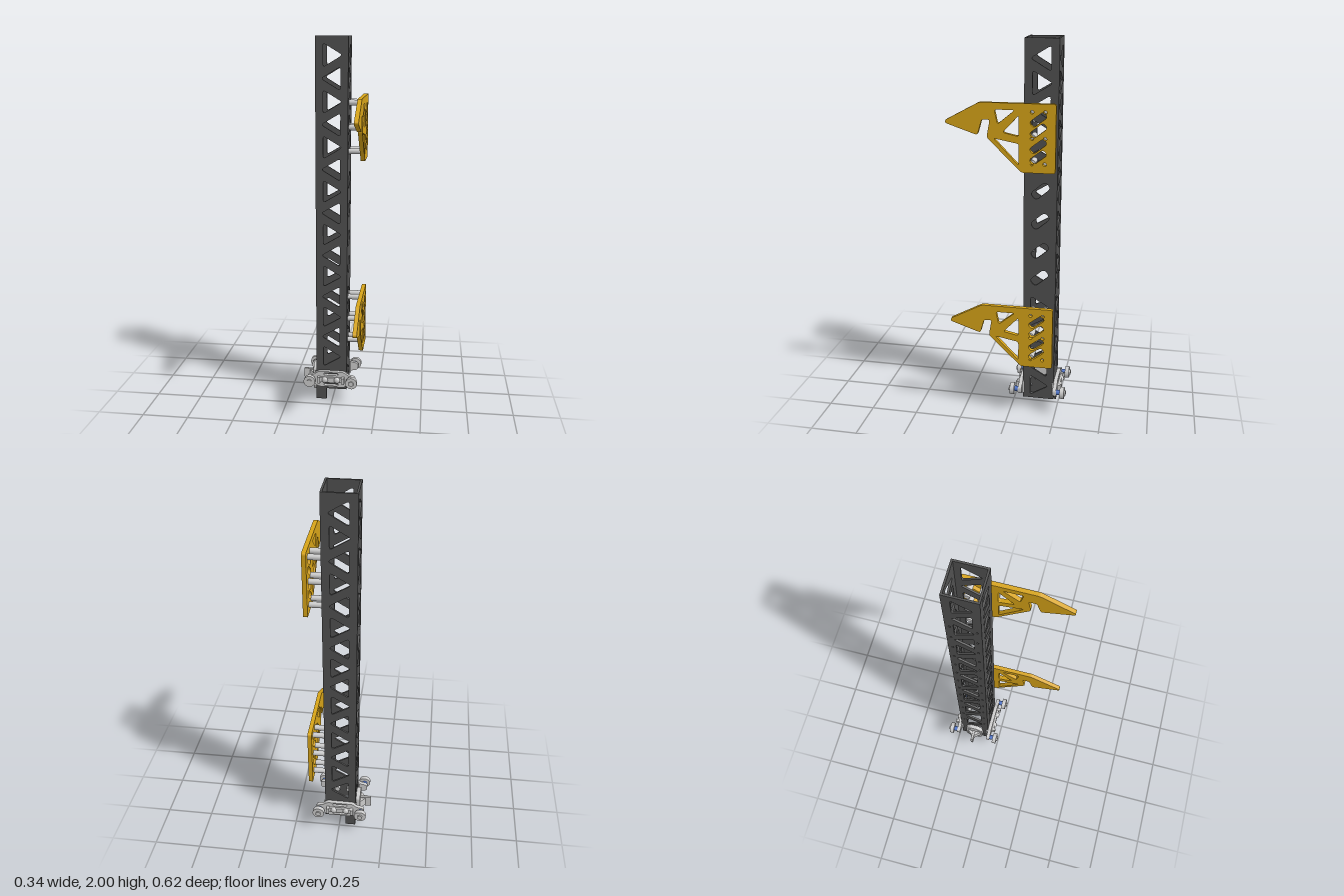
import * as THREE from 'three';

const mat = (color) => new THREE.MeshStandardMaterial({ color });
const DARK = mat(0x505050), GOLD = mat(0xd6a318), GREY = mat(0xcccccc), BLUE = mat(0x4a70c4);
const CX = -0.005, CZ = -0.15, HALF = 0.085, WALL = 0.01;

// Closed polygon with every corner rounded by radius r
function rounded(points, r, Type = THREE.Path) {
  const v = points.map(([x, y]) => new THREE.Vector2(x, y));
  const path = new Type();
  v.forEach((p, i) => {
    const a = v[(i + v.length - 1) % v.length], b = v[(i + 1) % v.length];
    const toward = (q) => p.clone().add(q.clone().sub(p).setLength(Math.min(r, p.distanceTo(q) * 0.45)));
    const s = toward(a), e = toward(b);
    if (i === 0) path.moveTo(s.x, s.y); else path.lineTo(s.x, s.y);
    path.quadraticCurveTo(p.x, p.y, e.x, e.y);
  });
  path.closePath();
  return path;
}

const circle = (x, y, r) => new THREE.Path().absarc(x, y, r, 0, Math.PI * 2);

// Slanted rounded slot
function slot(x, y, len, wid, angle) {
  const c = Math.cos(angle), s = Math.sin(angle);
  const pts = [[-len, -wid], [len, -wid], [len, wid], [-len, wid]]
    .map(([u, w]) => [x + (u * c - w * s) / 2, y + (u * s + w * c) / 2]);
  return rounded(pts, wid * 0.5);
}

// Lightening triangle, pointing to +u or -u
const triangle = (u, y, dir) =>
  rounded([[u - dir * 0.045, y - 0.06], [u + dir * 0.055, y], [u - dir * 0.045, y + 0.06]], 0.016);

function add(parent, name, geometry, material, x = 0, y = 0, z = 0) {
  const m = new THREE.Mesh(geometry, material);
  m.name = name;
  m.position.set(x, y, z);
  parent.add(m);
  return m;
}

function extrude(shape, holes, depth) {
  shape.holes.push(...holes);
  return new THREE.ExtrudeGeometry(shape, { depth, bevelEnabled: false, curveSegments: 6 });
}

// Profile drawn in (-z, y), thickened along +x
const sideways = (shape, holes, depth) => extrude(shape, holes, depth).rotateY(Math.PI / 2);

const polygon = (pts) => new THREE.Shape(pts.map(([x, y]) => new THREE.Vector2(x, y)));

function trussHoles(u, count, firstDir, keep = () => true) {
  const holes = [];
  for (let i = 0; i < count; i++) {
    const y = 1.905 - i * 0.1175;
    if (keep(y)) holes.push(triangle(u, y, i % 2 ? -firstDir : firstDir));
  }
  return holes;
}

function buildTube() {
  const tube = new THREE.Group();
  tube.name = 'squareTube';
  const x0 = CX - HALF, x1 = CX + HALF, u0 = -CZ - HALF, u1 = -CZ + HALF;

  // Front and back walls, notched at the foot
  const wall = () => polygon([[x0, 0], [-0.033, 0], [-0.033, 0.065], [x1, 0.065], [x1, 2], [x0, 2]]);
  for (const [name, z] of [['frontWall', CZ + HALF - WALL], ['backWall', CZ - HALF]])
    add(tube, name, extrude(wall(), trussHoles(CX, 15, 1), WALL), DARK, 0, 0, z);

  // Side walls fit between them
  const a = u0 + WALL, b = u1 - WALL;
  const rect = (y) => polygon([[a, y], [b, y], [b, 2], [a, 2]]);
  const openings = [1.25, 1.09, 0.93, 0.78].map((y) => slot(0.15, y, 0.1, 0.045, 0.7));
  add(tube, 'leftWall', sideways(rect(0.065),
    [...trussHoles(0.15, 16, -1, (y) => y > 1.36 || y < 0.66), ...openings], WALL), DARK, x1 - WALL);

  const dots = [0.05];
  for (let y = 0.285; y < 1.75; y += 0.1175) dots.push(y - 0.002);
  const rivets = dots.flatMap((y) => [0.087, 0.213].map((u) => circle(u, y, 0.006)));
  add(tube, 'rightWall', sideways(rect(0), [...trussHoles(0.15, 16, -1), ...rivets], WALL), DARK, x0);
  return tube;
}

// Hook plate on six standoffs; y is the plate's lower edge
function buildHook(y) {
  const hook = new THREE.Group();
  hook.name = 'hookAssembly';
  const outline = rounded([
    [0.235, 0], [0.235, 0.338], [-0.14, 0.338], [-0.31, 0.247], [-0.31, 0.232], [-0.15, 0.178],
    [-0.128, 0.255], [-0.088, 0.255], [-0.102, 0.178], [-0.1, 0.165], [0.068, 0],
  ], 0.012, THREE.Shape);
  const holes = [
    rounded([[-0.065, 0.305], [0.035, 0.305], [-0.05, 0.235]], 0.012),
    rounded([[-0.025, 0.195], [0.055, 0.28], [0.055, 0.178]], 0.012),
    rounded([[-0.07, 0.165], [0.055, 0.142], [0.055, 0.035]], 0.012),
    ...[0.262, 0.208, 0.132, 0.078].map((h) => slot(0.15, h, 0.088, 0.034, 0.65)),
  ];
  const rows = [0.045, 0.17, 0.298], cols = [0.119, 0.183];
  const rod = new THREE.CylinderGeometry(0.015, 0.015, 0.068, 20).rotateZ(Math.PI / 2);
  for (const h of rows) for (const u of cols) {
    holes.push(circle(u, h, 0.009));
    add(hook, 'standoff', rod, GREY, 0.114, h, -u);
  }
  add(hook, 'hookPlate', sideways(outline, holes, 0.022), GOLD, 0.148);
  hook.position.y = y;
  return hook;
}

// Roller carriage on one face, built facing +z from the tube surface
function buildCarriage() {
  const g = new THREE.Group();
  const rod = (name, r, z0, z1, x, material = GREY, sides = 24, y = 0) =>
    add(g, name, new THREE.CylinderGeometry(r, r, z1 - z0, sides).rotateX(Math.PI / 2), material, x, y, (z0 + z1) / 2);

  const body = rounded([[-0.14, -0.02], [-0.1, -0.026], [-0.078, -0.046], [0.068, -0.046], [0.09, -0.026], [0.13, -0.02],
    [0.13, 0.02], [0.09, 0.026], [0.068, 0.046], [-0.078, 0.046], [-0.1, 0.026], [-0.14, 0.02]], 0.016, THREE.Shape);
  add(g, 'carriagePlate', extrude(body, [slot(CX, 0.031, 0.08, 0.014, 0), slot(CX, -0.031, 0.08, 0.014, 0)], 0.02), GREY);
  add(g, 'clampBar', new THREE.BoxGeometry(0.125, 0.028, 0.011), GREY, CX, 0, 0.0255);

  for (const s of [-1, 1]) {
    add(g, 'clampLip', new THREE.BoxGeometry(0.009, 0.07, 0.012), GREY, CX + s * 0.0895, 0, -0.004);
    add(g, 'barEnd', new THREE.BoxGeometry(0.015, 0.036, 0.022), GREY, CX + s * 0.0675, 0, 0.031);
    const x = CX + s * 0.117;
    rod('rollerSpacer', 0.014, 0.02, 0.04, x, BLUE);
    rod('roller', 0.032, 0.04, 0.063, x, GREY, 32);
    rod('rollerBolt', 0.015, 0.063, 0.071, x, GREY, 6);
    const bx = CX + s * 0.034;
    rod('clampNut', 0.017, -0.03, -0.01, bx, GREY, 6);
    const dome = new THREE.SphereGeometry(0.017, 20, 8, 0, Math.PI * 2, 0, Math.PI / 2).rotateX(Math.PI / 2);
    add(g, 'boltHead', dome, GREY, bx, 0, 0.03).scale.z = 0.7;
  }
  return g;
}

// Small bracket with a gusseted tab on the right wall
function buildBracket() {
  const g = new THREE.Group();
  g.name = 'sideBracket';
  const x = CX - HALF;
  const base = rounded([[0.1, 0.06], [0.125, 0.03], [0.175, 0.03], [0.2, 0.06], [0.2, 0.165], [0.175, 0.19],
    [0.125, 0.19], [0.1, 0.165]], 0.008, THREE.Shape);
  const bolts = [0.06, 0.165].flatMap((y) => [0.122, 0.178].map((u) => circle(u, y, 0.007)));
  add(g, 'bracketBase', sideways(base, bolts, 0.022), GREY, x - 0.022);
  add(g, 'bracketTab', sideways(rounded([[0.143, 0.08], [0.157, 0.08], [0.157, 0.145], [0.143, 0.145]], 0.002, THREE.Shape),
    [], 0.06), GREY, x - 0.081);
  const gusset = polygon([[x - 0.021, 0.108], [x - 0.021, 0.192], [x - 0.05, 0.157], [x - 0.05, 0.143]]);
  add(g, 'bracketGusset', extrude(gusset, [], 0.05).rotateX(-Math.PI / 2), GREY, 0, 0.088, 0);
  return g;
}

export function createModel() {
  const model = new THREE.Group();
  model.name = 'slottedMast';
  model.add(buildTube(), buildHook(1.365), buildHook(0.303), buildBracket());

  const front = buildCarriage();
  front.name = 'frontCarriage';
  front.position.set(0, 0.13, CZ + HALF);
  const back = buildCarriage();
  back.name = 'backCarriage';
  back.rotation.y = Math.PI;
  back.position.set(2 * CX, 0.13, CZ - HALF);
  model.add(front, back);
  return model;
}
